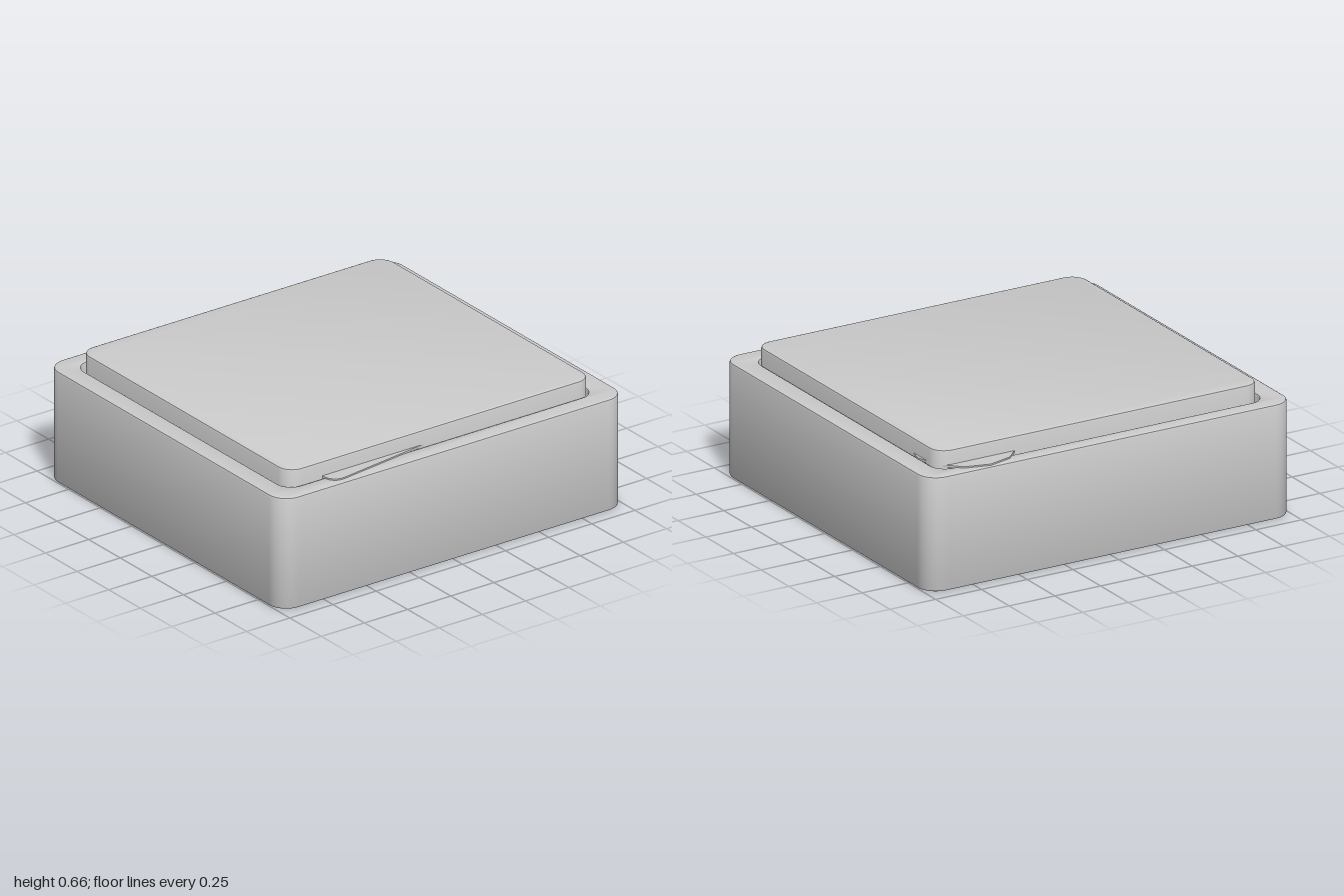
import * as THREE from 'three';
import { toCreasedNormals } from 'three/addons/utils/BufferGeometryUtils.js';

const grey = new THREE.MeshStandardMaterial({ color: 0xcccccc });

// Rounded rectangle path, centred on (cx, cy)
function roundedRect(path, hx, hy, r, cx = 0, cy = 0) {
  const corners = [[1, -1, -90], [1, 1, 0], [-1, 1, 90], [-1, -1, 180]];
  for (const [sx, sy, deg] of corners) {
    const a = THREE.MathUtils.degToRad(deg);
    path.absarc(cx + sx * (hx - r), cy + sy * (hy - r), r, a, a + Math.PI / 2, false);
  }
  path.closePath();
  return path;
}

// Plan shape (x, -z) raised from y0 to y1, edges eased by bevel
function slab(name, shape, y0, y1, bevel = 0) {
  const geo = new THREE.ExtrudeGeometry(shape, {
    depth: y1 - y0 - 2 * bevel,
    curveSegments: 6,
    bevelEnabled: bevel > 0,
    bevelThickness: bevel,
    bevelSize: bevel,
    bevelOffset: -bevel,
    bevelSegments: 2,
  });
  geo.rotateX(-Math.PI / 2);
  geo.translate(0, y0 + bevel, 0);
  const mesh = new THREE.Mesh(toCreasedNormals(geo, 0.6), grey);
  mesh.name = name;
  return mesh;
}

export function createModel() {
  const group = new THREE.Group();
  group.name = 'liddedBox';
  const bevel = 0.012;

  // Walls with a pocket slightly larger than the lid
  const walls = roundedRect(new THREE.Shape(), 1, 0.935, 0.1);
  walls.holes.push(roundedRect(new THREE.Path(), 0.892, 0.842, 0.08, -0.003, 0.006));
  group.add(slab('boxWalls', walls, 0, 0.575, bevel));

  // Floor closing the pocket
  const floor = roundedRect(new THREE.Shape(), 0.904, 0.854, 0.092, -0.003, 0.006);
  group.add(slab('boxFloor', floor, 0, 0.07));

  // Block standing proud of the rim
  const lid = roundedRect(new THREE.Shape(), 0.883, 0.828, 0.08);
  group.add(slab('lid', lid, 0.07, 0.655, bevel));

  // Thin round tab peeking out at the back left corner
  const disc = new THREE.Shape();
  disc.absarc(0.65, 0.67, 0.25, 0, Math.PI * 2, false);
  const tab = slab('roundTab', disc, 0.57, 0.582);
  group.add(tab);

  // Thin tapered tab along the front edge
  const taper = new THREE.Shape();
  taper.moveTo(-0.08, -0.825);
  taper.lineTo(-0.08, -0.78);
  taper.lineTo(-0.685, -0.78);
  taper.lineTo(-0.685, -0.83);
  taper.bezierCurveTo(-0.685, -0.88, -0.655, -0.908, -0.61, -0.902);
  taper.closePath();
  group.add(slab('taperedTab', taper, 0.57, 0.582));

  return group;
}
